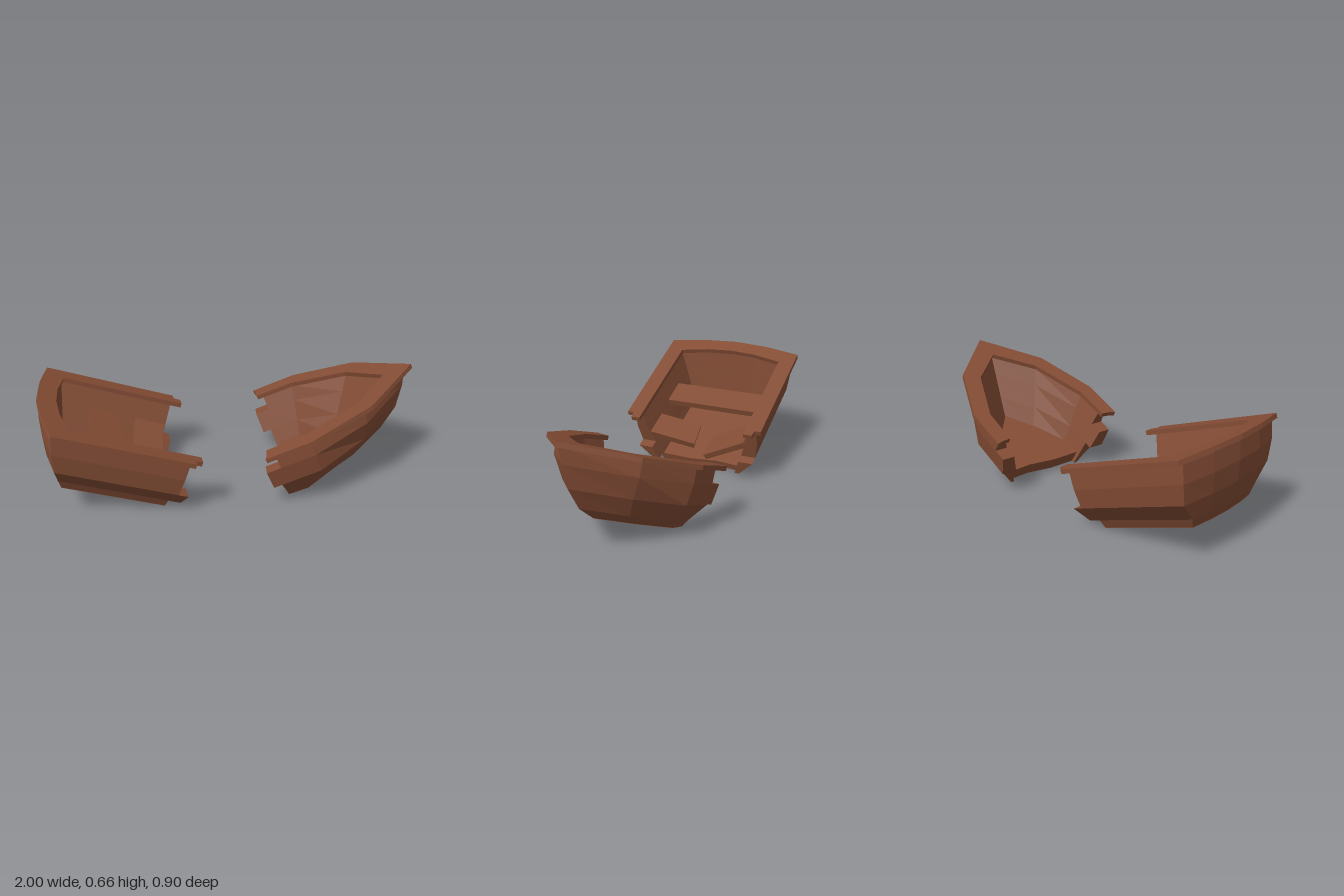
import * as THREE from 'three';

const wood = new THREE.MeshStandardMaterial({ color: 0x844d35, flatShading: true, side: THREE.DoubleSide });

// Half a run of [u, w] points ending on the centre line, continued on the other side
const mirrorRun = (half, side = 1) => {
  const first = half.map(([u, w]) => [u, w * side]);
  const rest = half.filter(([, w]) => w !== 0).reverse().map(([u, w]) => [u, -w * side]);
  return first.concat(rest);
};

// Solid skin through rings of points, capped at both ends
function loft(rings) {
  const pos = [];
  const quad = (a, b, c, d) => pos.push(...a, ...b, ...c, ...a, ...c, ...d);
  const n = rings[0].length;
  for (let i = 0; i < rings.length - 1; i++) {
    for (let j = 0; j < n; j++) {
      const k = (j + 1) % n;
      quad(rings[i][j], rings[i][k], rings[i + 1][k], rings[i + 1][j]);
    }
  }
  quad(...[...rings[0]].reverse());
  quad(...rings[rings.length - 1]);
  const g = new THREE.BufferGeometry();
  g.setAttribute('position', new THREE.Float32BufferAttribute(pos, 3));
  g.computeVertexNormals();
  return g;
}

function add(parent, name, geometry) {
  const mesh = new THREE.Mesh(geometry, wood);
  mesh.name = name;
  parent.add(mesh);
  return mesh;
}

// Flat board cut from an outline in plan, lying with its underside at height v
function board(outline, v, thickness) {
  const shape = new THREE.Shape(outline.map(([u, w]) => new THREE.Vector2(u, -w)));
  const g = new THREE.ExtrudeGeometry(shape, { depth: thickness, bevelEnabled: false });
  return g.rotateX(-Math.PI / 2).translate(0, v, 0);
}

// One half of the broken boat: plank bands around the hull, floor and rim
function hullHalf({ name, side, levels, heights, innerTop, innerLow, bandEnds, floorEnd, floorThickness, rimOuter, rimInner }) {
  const half = new THREE.Group();
  half.name = name;
  const last = levels.length - 1;
  const withEnd = (pts, end) => pts.map(([u, w], i) => [i === 0 ? end : u, w]);

  // straight inner wall between its upper and lower outlines
  const inner = (l) => {
    const t = (heights[l] - heights[0]) / (heights[last] - heights[0]);
    return innerTop.map((p, i) => p.map((c, a) => c + (innerLow[i][a] - c) * t));
  };

  for (let b = 0; b < last; b++) {
    // each band breaks off at its own length
    const runs = [[levels[b], b], [levels[b + 1], b + 1], [inner(b + 1), b + 1], [inner(b), b]]
      .map(([pts, l]) => mirrorRun(withEnd(pts, bandEnds[b]), side).map(([u, w]) => [u, heights[l], w]));
    add(half, 'hullBand' + (b + 1), loft(runs[0].map((_, i) => runs.map((r) => r[i]))));
  }

  // floor with a splintered edge
  const floor = mirrorRun(withEnd(levels[last], floorEnd));
  floor.push([floorEnd + 0.01 * side, -0.1], [floorEnd - 0.005 * side, 0.06]);
  add(half, 'floor', board(floor, heights[last] - 0.002, floorThickness));

  add(half, 'rim', board(mirrorRun(rimOuter).concat(mirrorRun(rimInner, -1)), -0.025, 0.025));
  return half;
}

export function createModel() {
  const model = new THREE.Group();
  model.name = 'brokenBoat';

  // Bow half
  const bow = hullHalf({
    name: 'bowHalf', side: 1,
    heights: [-0.02, -0.102, -0.213, -0.308, -0.357],
    levels: [
      [[0, 0.37], [0.25, 0.37], [0.56, 0.255], [0.835, 0]],
      [[0, 0.37], [0.245, 0.37], [0.55, 0.25], [0.8, 0]],
      [[0, 0.35], [0.235, 0.35], [0.5, 0.21], [0.728, 0]],
      [[0, 0.27], [0.19, 0.275], [0.42, 0.163], [0.61, 0]],
      [[0, 0.235], [0.13, 0.24], [0.32, 0.13], [0.48, 0]],
    ],
    innerTop: [[0, 0.325], [0.23, 0.325], [0.54, 0.2], [0.735, 0]],
    innerLow: [[0, 0.215], [0.15, 0.215], [0.32, 0.115], [0.43, 0]],
    bandEnds: [0.05, -0.028, 0.018, 0.018],
    floorEnd: 0.04,
    floorThickness: 0.065,
    rimOuter: [[0, 0.405], [0.254, 0.405], [0.6, 0.277], [0.88, 0]],
    rimInner: [[0.01, 0.37], [0.015, 0.32], [0.23, 0.315], [0.54, 0.195], [0.72, 0]],
  });
  bow.position.set(0.175, 0.331, -0.045);
  bow.rotation.set(0, -0.07, 0.389);
  model.add(bow);

  // Stern half
  const stern = hullHalf({
    name: 'sternHalf', side: -1,
    heights: [-0.02, -0.12, -0.222, -0.315, -0.362],
    levels: [
      [[0, 0.37], [-0.735, 0.37], [-0.775, 0.19], [-0.79, 0]],
      [[0, 0.37], [-0.71, 0.37], [-0.75, 0.19], [-0.765, 0]],
      [[0, 0.352], [-0.67, 0.352], [-0.705, 0.18], [-0.72, 0]],
      [[0, 0.265], [-0.625, 0.265], [-0.65, 0.14], [-0.66, 0]],
      [[0, 0.24], [-0.595, 0.24], [-0.617, 0.12], [-0.625, 0]],
    ],
    innerTop: [[0, 0.33], [-0.66, 0.322], [-0.7, 0.155], [-0.712, 0]],
    innerLow: [[0, 0.225], [-0.565, 0.225], [-0.585, 0.11], [-0.595, 0]],
    bandEnds: [-0.02, -0.02, 0.035, -0.035],
    floorEnd: -0.035,
    floorThickness: 0.04,
    rimOuter: [[0, 0.405], [-0.742, 0.41], [-0.785, 0.2], [-0.802, 0]],
    rimInner: [[0, 0.37], [0.04, 0.365], [0.04, 0.315], [-0.65, 0.315], [-0.69, 0.15], [-0.703, 0]],
  });

  // Whole seat, then a seat snapped in two and sagging to the middle
  const seat = add(stern, 'seat', new THREE.BoxGeometry(0.17, 0.035, 0.59));
  seat.position.set(-0.395, -0.152, 0.01);
  const snapped = [
    { name: 'snappedSeatRight', length: 0.3, v: -0.225, w: -0.16, tilt: 0.52, twist: 0 },
    { name: 'snappedSeatLeft', length: 0.27, v: -0.2, w: 0.175, tilt: -0.28, twist: 0.12 },
  ];
  for (const s of snapped) {
    const piece = add(stern, s.name, new THREE.BoxGeometry(0.17, 0.035, s.length));
    piece.position.set(-0.12, s.v, s.w);
    piece.rotation.set(s.tilt, s.twist, 0);
  }
  stern.position.set(-0.24, 0.335, -0.027);
  stern.rotation.set(0, 0.092, -0.337);
  model.add(stern);

  return model;
}
